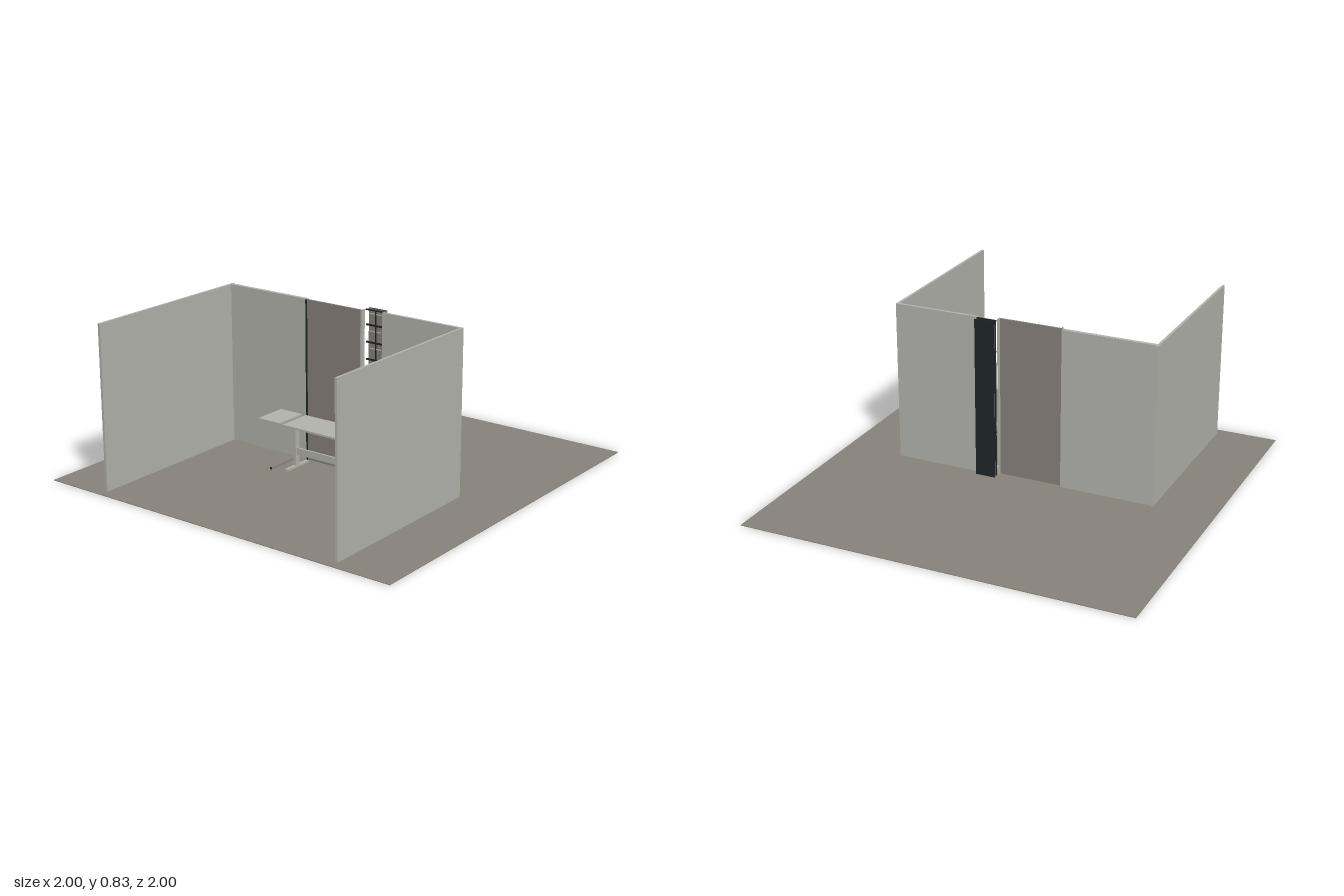
import * as THREE from 'three';

const material = (name, color) => {
  const m = new THREE.MeshStandardMaterial({ color });
  m.name = name;
  return m;
};

export function createModel() {
  const model = new THREE.Group();
  model.name = 'officeBooth';

  const paleGrey = material('paleGrey', 0xb2b3ac);
  const taupe = material('taupe', 0x87837a);
  const doorBrown = material('doorBrown', 0x87817a);
  const black = material('black', 0x1f2628);

  // Box given by its extents along x, y and z
  const box = (name, mat, [x0, x1], [y0, y1], [z0, z1], parent = model) => {
    const mesh = new THREE.Mesh(new THREE.BoxGeometry(x1 - x0, y1 - y0, z1 - z0), mat);
    mesh.position.set((x0 + x1) / 2, (y0 + y1) / 2, (z0 + z1) / 2);
    mesh.name = name;
    parent.add(mesh);
    return mesh;
  };

  const H = 0.832;

  // Floor slab
  box('floor', taupe, [-1, 1], [0, 0.003], [-1, 1]);

  // Side and back walls
  box('rightWall', paleGrey, [-0.693, -0.68], [0, H], [0, 0.955]);
  box('leftWall', paleGrey, [0.68, 0.693], [0, H], [0, 0.955]);
  box('backWallRight', paleGrey, [-0.68, -0.2], [0, H], [0.01, 0.03]);
  box('backWallLeft', paleGrey, [0.245, 0.68], [0, H], [0, 0.015]);

  // Sliding door, its dark edge and the pale post beside it
  box('door', doorBrown, [-0.2, 0.135], [0, H], [0.025, 0.035]);
  box('doorEdge', black, [-0.196, -0.189], [0, H], [0.035, 0.041]);
  box('doorPost', paleGrey, [0.133, 0.142], [0, H], [0.012, 0.036]);

  // Narrow shelf unit: back panel, inner lining, upright and shelves
  const shelves = new THREE.Group();
  shelves.name = 'shelfUnit';
  model.add(shelves);
  box('shelfBack', black, [0.138, 0.243], [0, H], [-0.032, -0.028], shelves);
  box('shelfLining', doorBrown, [0.138, 0.245], [0, H - 0.002], [-0.028, -0.026], shelves);
  const rear = new THREE.Mesh(new THREE.PlaneGeometry(0.105, H), black);
  rear.name = 'frameRear';
  rear.rotation.y = Math.PI;
  rear.position.set(0.19, H / 2, -0.008);
  shelves.add(rear);
  box('upright', black, [0.192, 0.198], [0, H], [-0.007, -0.002], shelves);
  box('topRail', black, [0.138, 0.243], [H - 0.006, H], [-0.007, 0], shelves);
  for (let i = 0; i < 9; i++) {
    const y = 0.065 + i * 0.0862;
    box('shelf', black, [0.141, 0.24], [y - 0.004, y + 0.004], [-0.007, 0], shelves);
    // Short pale pegs between the upper shelves
    if (i > 3) box('peg', paleGrey, [0.16, 0.225], [y + 0.054, y + 0.058], [-0.007, -0.003], shelves);
  }

  // Desk: top, two legs with feet, and a low crossbeam
  const desk = new THREE.Group();
  desk.name = 'desk';
  model.add(desk);
  box('deskTop', paleGrey, [-0.185, 0.185], [0.236, 0.246], [0.057, 0.24], desk);
  box('crossbeam', paleGrey, [-0.17, 0.17], [0.07, 0.105], [0.145, 0.155], desk);
  for (const s of [-1, 1]) {
    const x = s * 0.172;
    box('deskLeg', paleGrey, [x - 0.008, x + 0.008], [0.01, 0.236], [0.135, 0.165], desk);
    box('deskFoot', paleGrey, [x - 0.008, x + 0.008], [0.003, 0.014], [0.065, 0.232], desk);
  }

  // Side shelf with a thin floor rail under it
  box('sideShelf', paleGrey, [-0.365, -0.232], [0.226, 0.234], [0.03, 0.207]);
  box('floorRail', taupe, [-0.256, -0.246], [0.003, 0.012], [0.06, 0.25]);
  box('railTip', black, [-0.256, -0.246], [0.003, 0.013], [0.25, 0.254]);

  return model;
}
